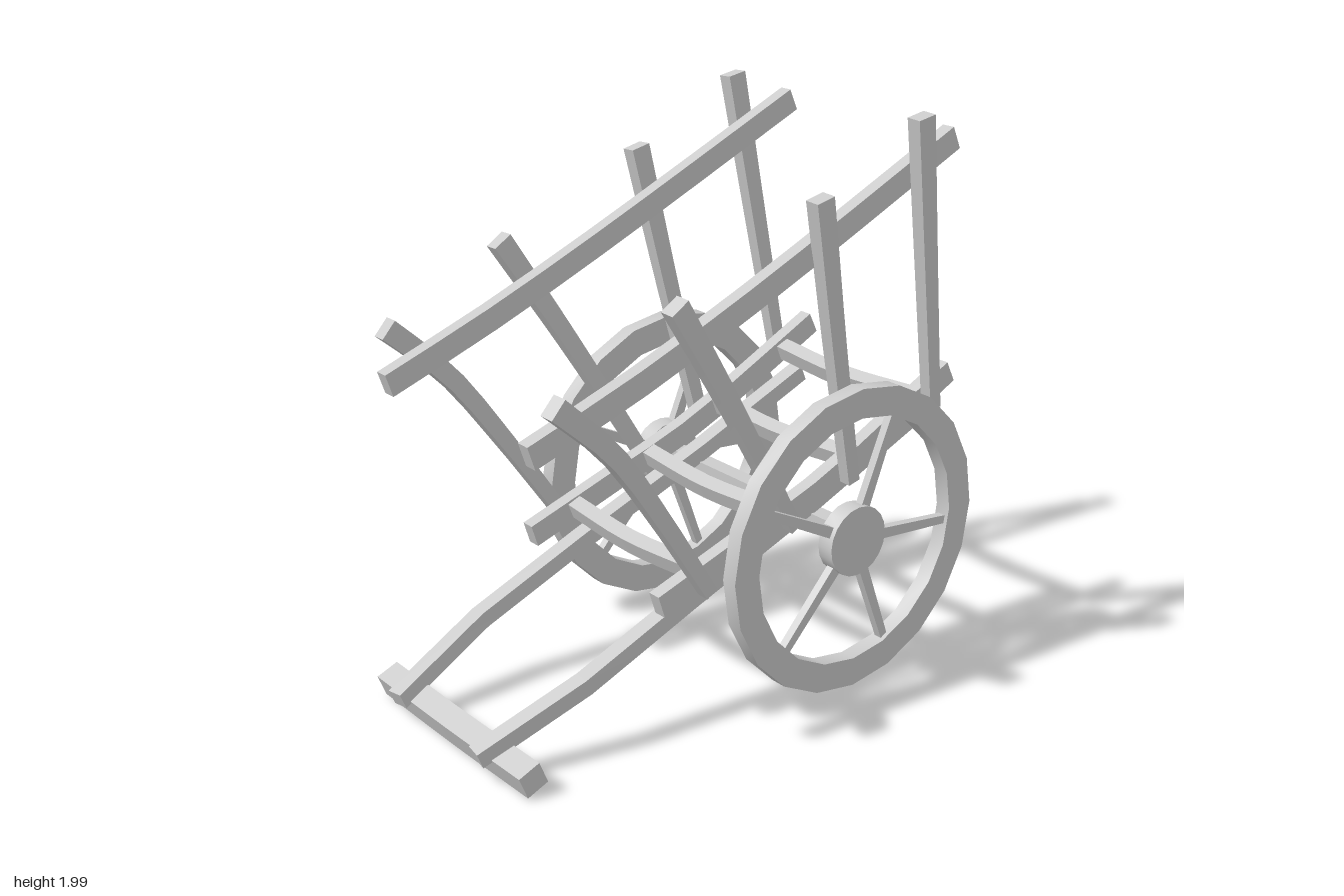
import * as THREE from 'three';
import { toCreasedNormals } from 'three/addons/utils/BufferGeometryUtils.js';

const material = new THREE.MeshStandardMaterial({ color: 0xcccccc });

function add(parent, name, geometry) {
  const mesh = new THREE.Mesh(toCreasedNormals(geometry, 0.5), material);
  mesh.name = name;
  parent.add(mesh);
  return mesh;
}

// Rectangular timber swept along points; "side" is the direction of its width.
// w and h are [start, end] sizes or single numbers.
function beam(points, w, h, side = new THREE.Vector3(1, 0, 0), curved = false) {
  let path = points.map(p => new THREE.Vector3(...p));
  if (curved) path = new THREE.CatmullRomCurve3(path).getPoints(8);
  const n = path.length, [w0, w1] = [w].flat(), [h0, h1] = [h].flat();
  const rings = path.map((p, i) => {
    const t = path[Math.min(i + 1, n - 1)].clone().sub(path[Math.max(i - 1, 0)]).normalize();
    const s = side.clone().addScaledVector(t, -side.dot(t)).normalize();
    const u = t.clone().cross(s);
    const k = i / (n - 1);
    const a = THREE.MathUtils.lerp(w0, w1 ?? w0, k) / 2;
    const b = THREE.MathUtils.lerp(h0, h1 ?? h0, k) / 2;
    return [[1, 1], [-1, 1], [-1, -1], [1, -1]].map(([x, y]) =>
      p.clone().addScaledVector(s, x * a).addScaledVector(u, y * b));
  });
  const out = [];
  const quad = (a, b, c, d) => [a, b, c, a, c, d].forEach(v => out.push(v.x, v.y, v.z));
  for (let i = 0; i < n - 1; i++) {
    for (let j = 0; j < 4; j++) {
      const k = (j + 1) % 4;
      quad(rings[i][j], rings[i][k], rings[i + 1][k], rings[i + 1][j]);
    }
  }
  quad(...[...rings[0]].reverse());
  quad(...rings[n - 1]);
  const g = new THREE.BufferGeometry();
  g.setAttribute('position', new THREE.Float32BufferAttribute(out, 3));
  g.computeVertexNormals();
  return g;
}

function makeWheel(name) {
  const wheel = new THREE.Group();
  wheel.name = name;
  // Rim
  const profile = [[0.45, -0.03], [0.555, -0.03], [0.555, 0.03], [0.45, 0.03], [0.45, -0.03]]
    .map(p => new THREE.Vector2(...p));
  add(wheel, 'rim', new THREE.LatheGeometry(profile, 20).rotateZ(Math.PI / 2));
  // Hub
  add(wheel, 'hub', new THREE.CylinderGeometry(0.127, 0.127, 0.064, 20).rotateZ(Math.PI / 2));
  // Unevenly spaced, hand-fitted spokes
  for (const deg of [-6, -69, -133, 153, 68]) {
    const a = THREE.MathUtils.degToRad(deg);
    const at = r => [0, r * Math.sin(a), -r * Math.cos(a)];
    add(wheel, 'spoke', beam([at(0.1), at(0.46)], 0.03, [0.04, 0.03]));
  }
  return wheel;
}

export function createModel() {
  const cart = new THREE.Group();
  cart.name = 'handCart';

  // Stakes as [z, y] points, front to back
  const stakes = [
    [[0.165, 0.49], [0.4, 0.84], [0.6, 1.11], [0.82, 1.315]],
    [[-0.21, 0.62], [0.1, 1.13], [0.36, 1.535]],
    [[-0.475, 0.72], [-0.35, 1.25], [-0.235, 1.775]],
    [[-0.865, 0.9], [-0.77, 1.45], [-0.68, 1.98]],
  ];

  for (const s of [1, -1]) {
    const half = new THREE.Group();
    half.name = s > 0 ? 'leftSide' : 'rightSide';
    cart.add(half);

    // Pulling shaft, bent inwards at the front
    add(half, 'shaft', beam([
      [s * 0.24, 0.09, 0.985], [s * 0.305, 0.25, 0.6], [s * 0.305, 0.425, 0.16],
      [s * 0.303, 0.635, -0.4], [s * 0.3, 0.835, -0.88],
    ], 0.06, 0.06));

    // Bed rail with a slight sag
    add(half, 'bedRail', beam([
      [s * 0.36, 0.475, 0.34], [s * 0.36, 0.585, 0], [s * 0.36, 0.72, -0.4], [s * 0.36, 1.0, -0.985],
    ], 0.05, 0.085, undefined, true));

    // Leaning side stakes
    for (const stake of stakes) {
      const y0 = stake[0][1], y1 = stake[stake.length - 1][1];
      const pts = stake.map(([z, y]) => [s * (0.41 + 0.065 * (y - y0) / (y1 - y0)), y, z]);
      add(half, 'stake', beam(pts, [0.045, 0.055], [0.05, 0.075], undefined, true));
    }

    // Upper side rail
    add(half, 'topRail', beam([
      [s * 0.405, 1.15, 0.87], [s * 0.412, 1.295, 0.45], [s * 0.414, 1.475, 0],
      [s * 0.412, 1.67, -0.45], [s * 0.408, 1.87, -0.9],
    ], 0.05, 0.085, undefined, true));

    // Wheel
    const wheel = makeWheel(s > 0 ? 'leftWheel' : 'rightWheel');
    wheel.position.set(s * 0.511, 0.558, -0.395);
    cart.add(wheel);
  }

  // Bed rungs, bowed slightly
  for (const [z, y] of [[0.155, 0.54], [-0.185, 0.655], [-0.515, 0.78], [-0.835, 0.925]]) {
    const slope = new THREE.Vector3(0, 0.37, -0.93);
    add(cart, 'rung', beam([
      [-0.345, y, z], [0, y - 0.014, z + 0.012], [0.345, y, z],
    ], 0.055, 0.06, slope, true));
  }

  // Axle
  add(cart, 'axle', new THREE.BoxGeometry(1.0, 0.065, 0.065)).position.set(0, 0.565, -0.4);

  // Front handle bar, hung under the shafts
  add(cart, 'handleBar', beam([
    [-0.43, 0.06, 0.895], [0, 0.055, 0.895], [0.43, 0.06, 0.895],
  ], 0.085, 0.085, new THREE.Vector3(0, 0.37, -0.93), true));

  return cart;
}
